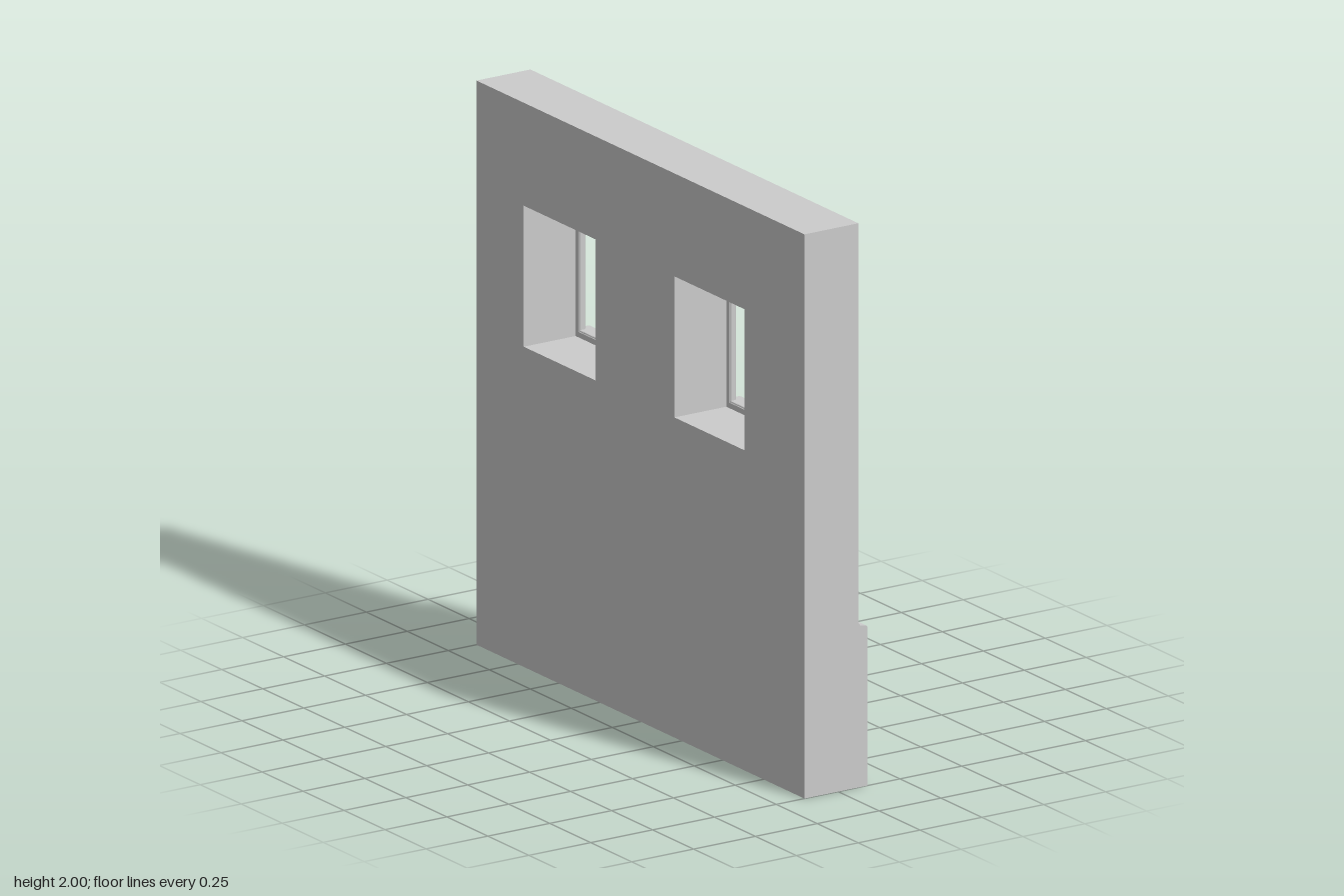
import * as THREE from 'three';
import { RoundedBoxGeometry } from 'three/addons/geometries/RoundedBoxGeometry.js';

const BACK = -0.136, FACE = 0.082;
const material = new THREE.MeshStandardMaterial({ color: 0xcccccc, flatShading: true });

// Rectangle drawn in (-z, y), so that turning it by 90 degrees puts it in the wall plane
function rect(PathType, z0, z1, y0, y1) {
  const path = new PathType();
  path.moveTo(-z1, y0);
  path.lineTo(-z0, y0);
  path.lineTo(-z0, y1);
  path.lineTo(-z1, y1);
  path.closePath();
  return path;
}

function addMesh(parent, name, geometry) {
  const mesh = new THREE.Mesh(geometry, material);
  mesh.name = name;
  parent.add(mesh);
  return mesh;
}

export function createModel() {
  const model = new THREE.Group();
  model.name = 'wallWithWindows';
  const windows = [
    { name: 'leftWindow', z0: 0.197, z1: 0.643 },
    { name: 'rightWindow', z0: -0.722, z1: -0.265 },
  ];

  // Wall slab with two openings
  const wallShape = rect(THREE.Shape, -1, 1, 0, 2);
  for (const w of windows) {
    wallShape.holes.push(rect(THREE.Path, w.z0 + 0.01, w.z1 - 0.01, 1.135, 1.635));
  }
  const wall = new THREE.ExtrudeGeometry(wallShape, { depth: FACE - BACK, bevelEnabled: false });
  wall.rotateY(Math.PI / 2).translate(BACK, 0, 0);
  addMesh(model, 'wall', wall);

  // Plinth with a small moulded top edge
  const plinthShape = new THREE.Shape([
    [FACE, 0], [0.119, 0], [0.119, 0.562], [0.113, 0.569], [0.09, 0.573], [FACE, 0.583],
  ].map(([x, y]) => new THREE.Vector2(x, y)));
  const plinth = new THREE.ExtrudeGeometry(plinthShape, { depth: 2, bevelEnabled: false });
  plinth.translate(0, 0, -1);
  addMesh(model, 'plinth', plinth);

  for (const w of windows) {
    const group = new THREE.Group();
    group.name = w.name;
    model.add(group);

    // Chamfered surround, its back edge let into the wall
    const b = 0.006;
    const shape = rect(THREE.Shape, w.z0 + b, w.z1 - b, 1.12, 1.652 - b);
    shape.holes.push(rect(THREE.Path, w.z0 + 0.032 - b, w.z1 - 0.032 + b, 1.16 - b, 1.62 + b));
    const frame = new THREE.ExtrudeGeometry(shape, {
      depth: 0.017, bevelSize: b, bevelThickness: b, bevelSegments: 1,
    });
    frame.rotateY(Math.PI / 2).translate(0.08, 0, 0);
    addMesh(group, 'windowFrame', frame);

    // Projecting sill
    const sill = new RoundedBoxGeometry(0.06, 0.052, w.z1 - w.z0, 1, 0.004);
    addMesh(group, 'windowSill', sill).position.set(0.106, 1.135, (w.z0 + w.z1) / 2);
  }
  return model;
}
